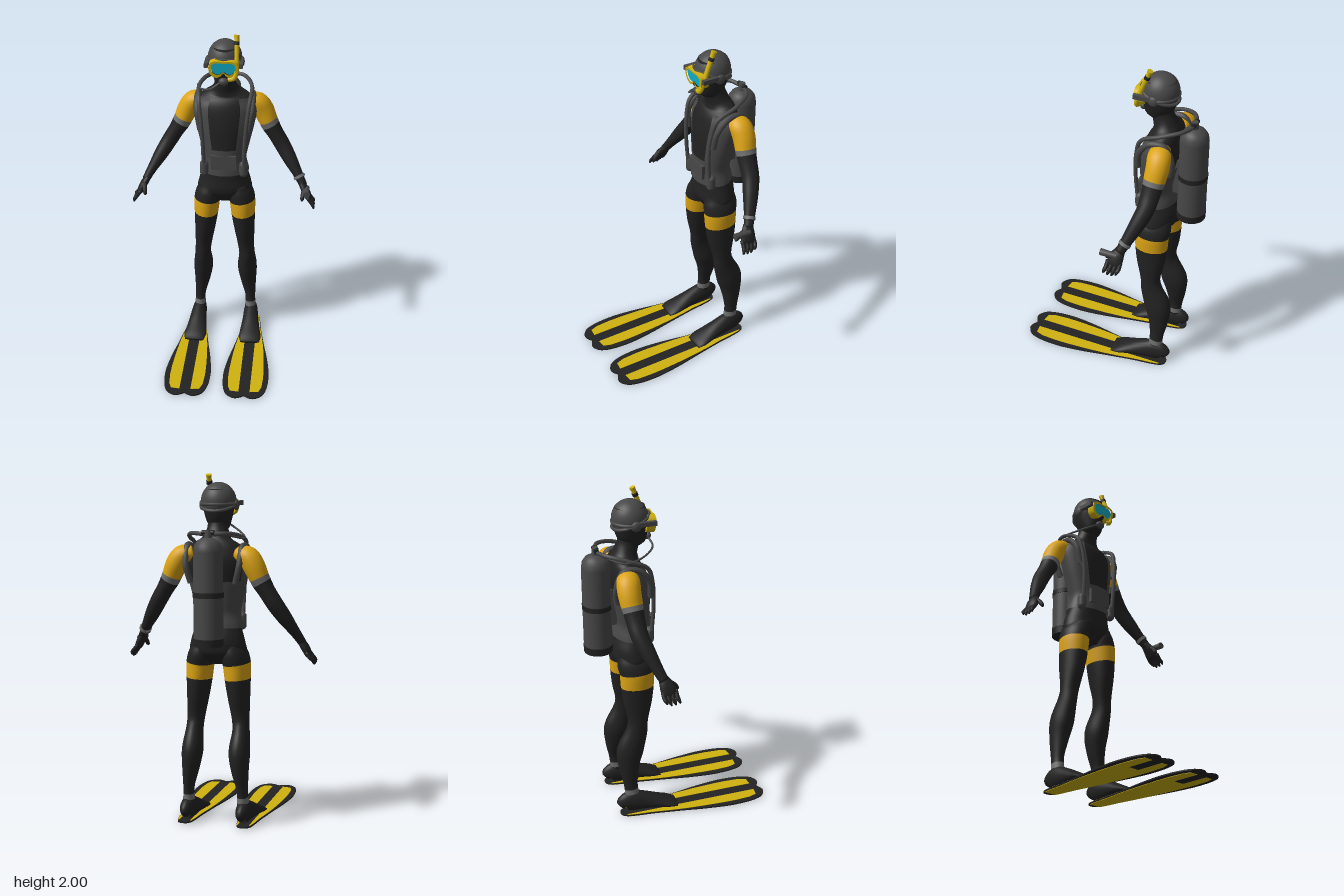
import * as THREE from 'three';

const paint = (name, color) => Object.assign(new THREE.MeshStandardMaterial({ color }), { name });
const black = paint('black neoprene', 0x222222);
const grey = paint('dark grey gear', 0x484848);
const silver = paint('grey cuff', 0x707070);
const amber = paint('amber band', 0xdca414);
const yellow = paint('fin yellow', 0xd0b210);
const cyan = paint('lens cyan', 0x12b2cc);
const V = (x, y, z) => new THREE.Vector3(x, y, z);
const Y = V(0, 1, 0), Z = V(0, 0, 1);

function add(parent, name, geo, mat, x = 0, y = 0, z = 0) {
  const m = new THREE.Mesh(geo, mat);
  m.name = name;
  m.position.set(x, y, z);
  parent.add(m);
  return m;
}

// Smooth skin over elliptical sections [x, y, z, a, b]; pick(segment, angle) gives a material index, -1 leaves a gap
function loft(sec, { n = 24, steps = 5, ref = Z, pick = () => 0, caps = true } = {}) {
  const path = new THREE.CatmullRomCurve3(sec.map(s => V(s[0], s[1], s[2])), false, 'catmullrom', 0.5);
  const size = new THREE.SplineCurve(sec.map(s => new THREE.Vector2(s[3], s[4])));
  const rows = (sec.length - 1) * steps, pos = [], faces = [];
  const put = (k, ...ids) => { if (k >= 0) (faces[k] ??= []).push(...ids); };
  for (let i = 0; i <= rows; i++) {
    const c = path.getPoint(i / rows), r = size.getPoint(i / rows), t = path.getTangent(i / rows);
    const u = t.clone().cross(ref).normalize(), v = t.clone().cross(u);
    for (let j = 0; j < n; j++) {
      const a = j / n * Math.PI * 2;
      const p = c.clone().addScaledVector(u, r.x * Math.cos(a)).addScaledVector(v, r.y * Math.sin(a));
      pos.push(p.x, p.y, p.z);
    }
  }
  for (let i = 0; i < rows; i++) for (let j = 0; j < n; j++) {
    const a = i * n + j, b = i * n + (j + 1) % n;
    put(pick(Math.floor(i / steps), (j + 0.5) / n * Math.PI * 2), a, b, b + n, a, b + n, a + n);
  }
  if (caps) {
    const first = sec[0], last = sec[sec.length - 1], c = (rows + 1) * n;
    pos.push(...first.slice(0, 3), ...last.slice(0, 3));
    for (let j = 0; j < n; j++) {
      const k = (j + 1) % n;
      put(pick(0, 0), c, k, j);
      put(pick(sec.length - 2, 0), c + 1, rows * n + j, rows * n + k);
    }
  }
  const g = new THREE.BufferGeometry();
  g.setAttribute('position', new THREE.Float32BufferAttribute(pos, 3));
  const index = [];
  faces.forEach((f, k) => { g.addGroup(index.length, f.length, k); index.push(...f); });
  g.setIndex(index);
  g.computeVertexNormals();
  return g;
}

const tube = (pts, r, closed = false) =>
  new THREE.TubeGeometry(new THREE.CatmullRomCurve3(pts.map(p => V(...p)), closed), 48, r, 8, closed);
const flip = (sec, s) => sec.map(([x, ...rest]) => [x * s, ...rest]);
const ring = (cy, cz, rx, rz, tilt) => Array.from({ length: 20 }, (_, i) => {
  const a = i / 20 * Math.PI * 2;
  return [rx * Math.cos(a), cy + tilt * Math.sin(a), cz + rz * Math.sin(a)];
});

// Flat plate lying on the ground plane: outline in x and z, top surface at height top
function plate(shape, top, depth) {
  return new THREE.ExtrudeGeometry(shape, { depth, bevelEnabled: false, curveSegments: 48 }).rotateX(Math.PI / 2).translate(0, top, 0);
}
const vec2 = pts => pts.map(p => new THREE.Vector2(...p));
const splineShape = pts => new THREE.Shape(new THREE.SplineCurve(vec2(pts)).getPoints(80));
const both = pts => [...pts, ...pts.slice(0, -1).reverse().map(([x, y]) => [-x, y])];

function makeTorso(g) {
  const body = [[.94, -.25, .07, .06], [1, -.255, .16, .105], [1.06, -.26, .158, .114], [1.14, -.25, .135, .1],
    [1.22, -.245, .118, .09], [1.29, -.248, .13, .094], [1.42, -.26, .16, .104], [1.53, -.277, .178, .104],
    [1.6, -.285, .155, .085], [1.645, -.277, .085, .068], [1.7, -.26, .06, .062], [1.76, -.25, .058, .06]]
    .map(([y, z, a, b]) => [0, y, z, a, b]);
  add(g, 'torso', loft(body, { n: 40 }), [black]);
  // Vest shell: full belt, open chest panel, open upper back
  const vest = body.slice(3, 9).map(([x, y, z, a, b]) => [x, y, z, a + .012, b + .012]);
  const pick = (seg, a) => {
    const front = Math.acos(-Math.sin(a));
    return seg < 2 || (front > .55 && (seg < 3 || front < 2.1)) ? 0 : -1;
  };
  const shell = grey;
  shell.side = THREE.DoubleSide;
  add(g, 'vest', loft(vest, { n: 48, pick, caps: false }), [shell]);
  add(g, 'beltBuckle', new THREE.BoxGeometry(.15, .09, .02), grey, 0, 1.22, -.148);
  for (const s of [1, -1]) {
    add(g, 'shoulderStrap', tube([[.14 * s, 1.42, -.17], [.16 * s, 1.53, -.185], [.165 * s, 1.6, -.25],
      [.16 * s, 1.6, -.33], [.155 * s, 1.5, -.375], [.13 * s, 1.4, -.36]], .018), grey);
    add(g, 'vestHose', tube([[.01 * s, 1.675, -.45], [.1 * s, 1.68, -.41], [.155 * s, 1.655, -.3], [.15 * s, 1.6, -.19],
      [.137 * s, 1.5, -.158], [.125 * s, 1.35, -.15], [.12 * s, 1.2, -.16]], .012), grey);
    add(g, 'pouch', new THREE.CapsuleGeometry(.027, .05, 6, 14), grey, .118 * s, 1.17, -.175);
  }
}

function makeHead(g) {
  add(g, 'head', loft([[0, 1.685, -.215, .03, .04], [0, 1.7, -.22, .052, .066], [0, 1.74, -.228, .068, .083],
    [0, 1.79, -.238, .082, .096], [0, 1.85, -.242, .09, .1], [0, 1.92, -.243, .075, .085]]), [black]);
  const hood = add(g, 'hood', new THREE.SphereGeometry(1, 32, 20, 0, Math.PI * 2, 0, Math.PI * .56), grey, 0, 1.85, -.243);
  hood.scale.set(.1, .108, .105);
  hood.rotation.x = -.3;
  add(g, 'hoodRim', tube(ring(1.835, -.24, .1, .105, .035), .009, true), grey);
  add(g, 'maskStrap', tube(ring(1.835, -.24, .1, .104, 0), .01, true), grey);
  for (const s of [1, -1]) {
    add(g, 'strapClip', new THREE.BoxGeometry(.022, .026, .1), grey, s * .1, 1.84, -.17);
    const ear = add(g, 'earCover', new THREE.SphereGeometry(.03, 16, 12), grey, s * .1, 1.83, -.235);
    ear.scale.x = .5;
  }
  // Mask: frame with a lens opening
  const half = [[0, .046], [.045, .05], [.078, .035], [.085, 0], [.074, -.035], [.045, -.054], [.02, -.046], [0, -.03]];
  const outline = [...half, ...half.slice(0, -1).reverse().map(([x, y]) => [-x, y])];
  const inner = outline.map(([x, y]) => [x * .82, y * .7 + .003]);
  const frame = splineShape(outline);
  frame.holes.push(new THREE.Path(new THREE.SplineCurve(vec2(inner)).getPoints(60)));
  const mask = new THREE.Group();
  mask.name = 'mask';
  mask.position.set(0, 1.825, -.168);
  mask.rotation.x = .1;
  g.add(mask);
  add(mask, 'maskFrame', new THREE.ExtrudeGeometry(frame, { depth: .05, bevelEnabled: false }), yellow);
  add(mask, 'lens', new THREE.ExtrudeGeometry(splineShape(inner), { depth: .006, bevelEnabled: false }), cyan, 0, 0, .038);
  add(mask, 'nosePocket', new THREE.SphereGeometry(.018, 14, 10), black, 0, -.035, .035);
  // Snorkel on the left
  add(g, 'snorkel', tube([[.03, 1.755, -.13], [.06, 1.765, -.125], [.075, 1.81, -.135], [.074, 1.88, -.16], [.07, 1.995, -.205]], .014), yellow);
  const band = add(g, 'snorkelBand', new THREE.CylinderGeometry(.017, .017, .02, 14), black, .071, 1.955, -.19);
  band.rotation.x = -.37;
  const top = add(g, 'snorkelOpening', new THREE.CylinderGeometry(.017, .015, .02, 14), yellow, .07, 1.989, -.203);
  top.rotation.x = -.37;
  // Mouthpiece and its hose
  const reg = add(g, 'regulator', new THREE.SphereGeometry(.03, 18, 12), grey, 0, 1.735, -.145);
  reg.scale.set(1, .8, .7);
  add(g, 'regulatorHose', tube([[-.02, 1.73, -.145], [-.07, 1.695, -.135], [-.13, 1.665, -.2], [-.165, 1.65, -.32],
    [-.1, 1.67, -.41], [-.01, 1.68, -.45]], .006), grey);
}

function makeTank(g) {
  const profile = vec2([[0, 1.06], [.078, 1.06], [.083, 1.07], [.083, 1.58], [.077, 1.615], [.06, 1.64], [.03, 1.657], [0, 1.66]]);
  const z = -.447;
  add(g, 'tank', new THREE.LatheGeometry(profile, 32), grey, 0, 0, z);
  add(g, 'tankBoot', new THREE.CylinderGeometry(.085, .083, .045, 32), black, 0, 1.08, z);
  add(g, 'tankBand', new THREE.CylinderGeometry(.086, .086, .03, 32), black, 0, 1.345, z);
  add(g, 'backplate', new THREE.BoxGeometry(.1, .22, .04), grey, 0, 1.34, -.365);
  add(g, 'valve', new THREE.CylinderGeometry(.018, .022, .05, 14), grey, 0, 1.675, z);
  add(g, 'valveKnob', new THREE.CylinderGeometry(.014, .014, .07, 12).rotateZ(Math.PI / 2), black, 0, 1.685, z);
}

function makeArm(g, s) {
  const arm = [[.13, 1.56, -.3, .045, .055], [.19, 1.55, -.315, .058, .066], [.225, 1.5, -.32, .062, .066],
    [.255, 1.435, -.315, .056, .062], [.27, 1.405, -.312, .054, .058], [.3, 1.355, -.308, .048, .054], [.34, 1.29, -.3, .047, .05],
    [.39, 1.21, -.27, .042, .044], [.44, 1.13, -.235, .03, .034], [.478, 1.065, -.205, .024, .028]];
  add(g, 'arm', loft(flip(arm, s), { pick: seg => seg < 3 ? 0 : seg === 3 ? 1 : 2 }), [amber, silver, black]);
  add(g, 'palm', loft(flip([[.465, 1.08, -.21, .02, .028], [.49, 1.04, -.195, .023, .042], [.51, 1, -.185, .02, .045],
    [.52, .98, -.18, .01, .034]], s), { n: 16 }), [black]);
  for (let i = 0; i < 4; i++) {
    const z = -.222 + i * .025, tip = i === 0 ? .012 : i === 3 ? .006 : 0;
    add(g, 'finger', loft(flip([[.505, 1.01, z, .012, .012], [.527, .98, z + .002, .012, .012], [.541, .955 + tip, z + .008, .011, .011],
      [.545, .938 + tip, z + .014, .005, .005]], s), { n: 10, steps: 3 }), [black]);
  }
  add(g, 'thumb', loft(flip([[.485, 1.055, -.175, .014, .014], [.478, 1.03, -.145, .013, .013], [.474, 1.005, -.128, .011, .011],
    [.473, .995, -.125, .004, .004]], s), { n: 10, steps: 3 }), [black]);
}

function makeLeg(g, s) {
  const leg = [[.085, 1.04, -.257, .06, .095], [.096, .99, -.256, .075, .105], [.108, .935, -.25, .079, .102], [.114, .845, -.25, .073, .098],
    [.122, .74, -.252, .063, .085], [.133, .62, -.256, .051, .06], [.139, .54, -.27, .049, .068], [.14, .43, -.308, .06, .082],
    [.147, .33, -.32, .05, .065], [.16, .22, -.317, .033, .045], [.162, .17, -.313, .032, .042], [.163, .135, -.31, .034, .043], [.165, .07, -.305, .034, .043]];
  add(g, 'leg', loft(flip(leg, s), { n: 28, pick: seg => seg === 2 ? 1 : seg === 10 ? 2 : 0 }), [black, amber, silver]);
  add(g, 'boot', loft(flip([[.167, .05, -.378, .02, .025], [.167, .072, -.36, .036, .056], [.167, .08, -.305, .045, .068], [.17, .066, -.22, .052, .054],
    [.172, .048, -.14, .062, .036], [.175, .034, -.08, .069, .022], [.177, .022, -.035, .06, .01]], s), { ref: Y }), [black]);
  // Fin blade with coloured plates
  const fin = new THREE.Group();
  fin.name = 'fin';
  fin.position.x = .177 * s;
  g.add(fin);
  const blade = both([[0, .505], [.035, .526], [.07, .525], [.11, .49], [.131, .42], [.138, .33], [.135, .25], [.118, .12], [.096, 0],
    [.079, -.1], [.063, -.2], [.052, -.3], [.035, -.37], [0, -.388]]);
  add(fin, 'finBlade', plate(splineShape(blade), .012, .008), black);
  const edge = [[.04, -.355], [.049, -.3], [.059, -.2], [.075, -.1], [.088, 0], [.098, .12], [.105, .25], [.106, .33], [.101, .42], [.085, .468]];
  for (const m of [1, -1]) {
    const stripe = [...edge, [.033, .474], [.033, -.355]].map(([x, z]) => [x * m, z]);
    add(fin, 'finStripe', plate(new THREE.Shape(vec2(stripe)), .0145, .002), yellow);
  }
  const under = [...edge, ...edge.slice().reverse().map(([x, z]) => [-x, z])];
  add(fin, 'finUnderside', plate(new THREE.Shape(vec2(under)), .0035, .0025), yellow);
  add(fin, 'finUnderPatch', new THREE.BoxGeometry(.066, .001, .17), black, 0, .0005, .39);
}

export function createModel() {
  const g = new THREE.Group();
  g.name = 'diver';
  makeTorso(g);
  makeHead(g);
  makeTank(g);
  for (const s of [1, -1]) {
    makeArm(g, s);
    makeLeg(g, s);
  }
  // Torch and wrist strap on the left hand
  add(g, 'torch', new THREE.CylinderGeometry(.02, .016, .1, 16).rotateX(Math.PI / 2), grey, .5, 1.05, -.15);
  const strap = add(g, 'wristStrap', new THREE.CylinderGeometry(.036, .036, .018, 16), silver, .452, 1.11, -.226);
  strap.quaternion.setFromUnitVectors(Y, V(-.48, .78, -.38).normalize());
  return g;
}
